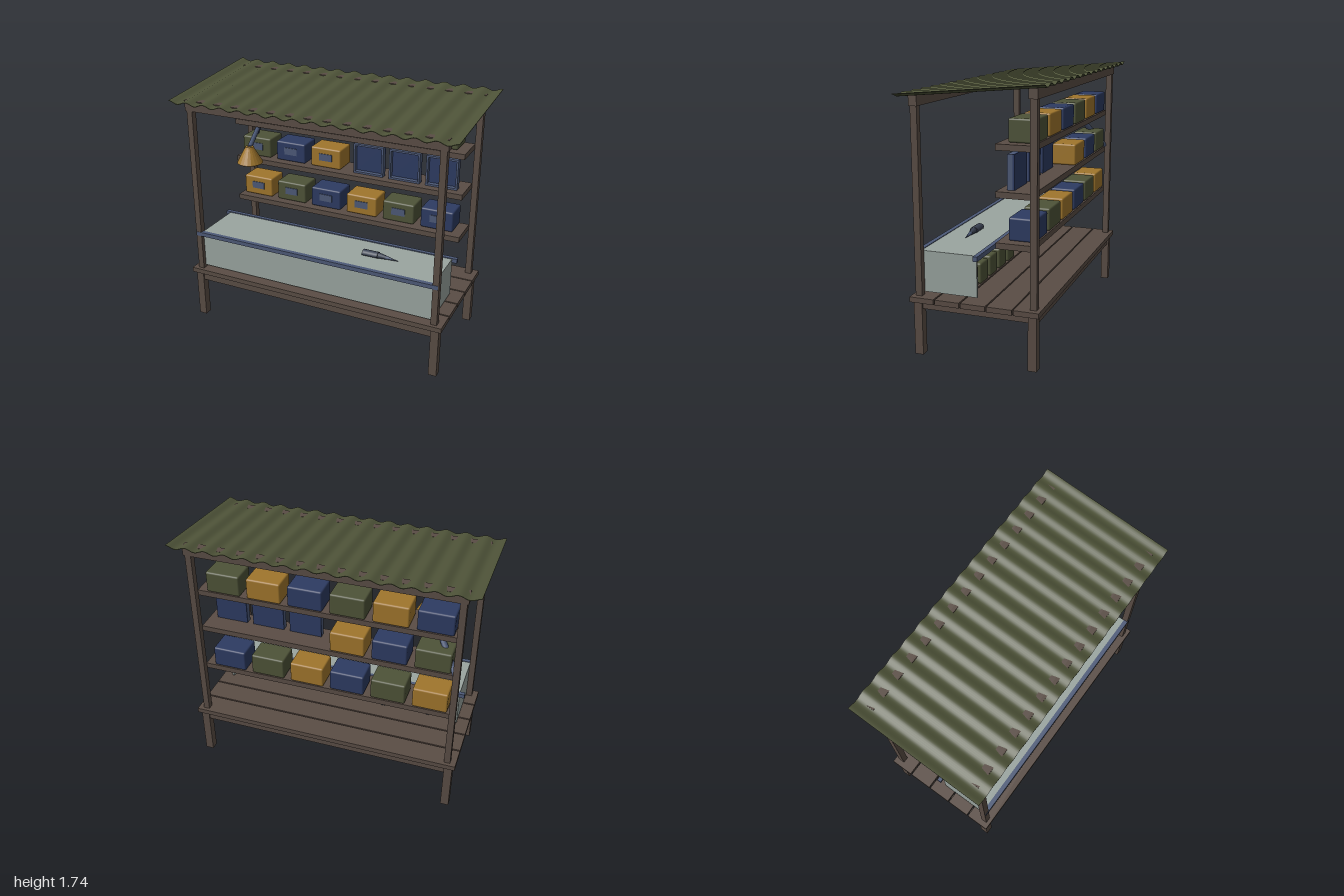
import * as THREE from 'three';
import { RoundedBoxGeometry } from 'three/addons/geometries/RoundedBoxGeometry.js';

const mat = (name, color) => {
  const m = new THREE.MeshStandardMaterial({ color });
  m.name = name;
  return m;
};

export function createModel() {
  const root = new THREE.Group();
  root.name = 'marketStall';
  const wood = mat('brown wood', 0x5a4d45);
  const green = mat('olive green', 0x4e5338);
  const orange = mat('ochre', 0xa0762c);
  const blue = mat('navy blue', 0x2d3b62);
  const slate = mat('slate blue metal', 0x4d5a78);
  const pale = mat('pale grey counter', 0x9aa5a0);
  const dark = mat('dark metal', 0x3a4252);

  const add = (name, geo, m, parent = root) => {
    const mesh = new THREE.Mesh(geo, m);
    mesh.name = name;
    parent.add(mesh);
    return mesh;
  };
  // Box given by its limits on each axis
  const box = (name, m, x0, x1, y0, y1, z0, z1, parent = root) => {
    const b = add(name, new THREE.BoxGeometry(x1 - x0, y1 - y0, z1 - z0), m, parent);
    b.position.set((x0 + x1) / 2, (y0 + y1) / 2, (z0 + z1) / 2);
    return b;
  };
  // Round bar between two points
  const bar = (name, m, a, b, r0, r1 = r0, sides = 10, parent = root) => {
    const dir = b.clone().sub(a);
    const c = add(name, new THREE.CylinderGeometry(r1, r0, dir.length(), sides), m, parent);
    c.position.copy(a).add(b).multiplyScalar(0.5);
    c.quaternion.setFromUnitVectors(new THREE.Vector3(0, 1, 0), dir.normalize());
    return c;
  };
  const v = (x, y, z) => new THREE.Vector3(x, y, z);

  // Platform: five planks, aprons, legs
  for (let i = 0; i < 5; i++) {
    const z = -0.425 + i * 0.172;
    box('plank', wood, -0.95, 0.95, 0.352, 0.386, z, z + 0.162);
  }
  for (const s of [-1, 1]) {
    const z = s * 0.378, x = s * 0.9;
    box('longApron', wood, -0.88, 0.88, 0.29, 0.352, z - 0.018, z + 0.018);
    box('sideApron', wood, x - 0.018, x + 0.018, 0.306, 0.352, -0.36, 0.36);
    for (const t of [-1, 1]) {
      const lx = t * 0.902;
      box('leg', wood, lx - 0.028, lx + 0.028, 0, 0.352, z - 0.028, z + 0.028);
      box('post', wood, t * 0.89 - 0.021, t * 0.89 + 0.021, 0.386, s > 0 ? 1.58 : 1.65, z - 0.022, z + 0.022);
    }
  }

  // Roof beams and corrugated sheet
  box('frontBeam', wood, -0.92, 0.92, 1.575, 1.647, 0.35, 0.405);
  box('backBeam', wood, -0.92, 0.92, 1.644, 1.713, -0.405, -0.35);
  const sheet = new THREE.BoxGeometry(2, 0.004, 0.936, 180, 1, 1);
  const p = sheet.attributes.position;
  for (let i = 0; i < p.count; i++) {
    const wave = -0.0095 * Math.cos(p.getX(i) * Math.PI * 15);
    p.setY(i, p.getY(i) + 1.683 + wave - p.getZ(i) * 0.0876);
  }
  sheet.computeVertexNormals();
  add('corrugatedRoof', sheet, green);

  // Shelves with storage boxes
  const crate = new RoundedBoxGeometry(0.235, 0.145, 0.174, 2, 0.012);
  const rows = [
    [0.77, [orange, green, blue, orange, green, blue]],
    [1.085, [green, blue, orange]],
    [1.37, [blue, orange, green, blue, orange, green]],
  ];
  for (const [y, colours] of rows) {
    box('shelf', wood, -0.87, 0.87, y - 0.038, y, -0.358, -0.125);
    colours.forEach((m, i) => {
      const x = -0.73 + i * 0.2834;
      add('storageBox', crate, m).position.set(x, y + 0.0725, -0.268);
      box('boxLabel', slate, x - 0.05, x + 0.05, y + 0.051, y + 0.103, -0.182, -0.176);
    });
  }

  // Upright framed trays on the middle shelf
  for (const x of [0.168, 0.436, 0.704]) {
    const tray = new THREE.Group();
    tray.name = 'framedTray';
    root.add(tray);
    const w = 0.112, t = 0.013, y0 = 1.086, y1 = 1.303;
    box('trayBack', blue, x - w, x + w, y0, y1, -0.226, -0.214, tray);
    for (const s of [-1, 1]) {
      const sx = x + s * (w - t / 2);
      box('traySide', slate, sx - t / 2, sx + t / 2, y0, y1, -0.214, -0.18, tray);
    }
    box('trayTop', slate, x - w + t, x + w - t, y1 - t, y1, -0.214, -0.18, tray);
    box('trayBottom', slate, x - w + t, x + w - t, y0, y0 + t, -0.214, -0.18, tray);
  }

  // Counter, open at the back
  box('counterFront', pale, -0.868, 0.868, 0.403, 0.655, 0.357, 0.372);
  box('counterTop', pale, -0.87, 0.87, 0.655, 0.672, 0, 0.372);
  for (const s of [-1, 1]) {
    box('counterEnd', pale, s * 0.861 - 0.008, s * 0.861 + 0.008, 0.403, 0.655, 0.002, 0.357);
  }
  box('frontRail', slate, -0.905, 0.905, 0.647, 0.676, 0.372, 0.403);
  box('backRail', slate, -0.905, 0.905, 0.647, 0.678, -0.017, 0.012);

  // Green containers under the counter
  const bin = new RoundedBoxGeometry(0.125, 0.14, 0.195, 2, 0.014);
  for (let i = 0; i < 5; i++) add('underCounterBin', bin, green).position.set(0.024 + i * 0.167, 0.456, 0.187);

  // Tools hanging under the counter
  for (const x of [-0.315, -0.64]) {
    const tool = new THREE.Group();
    tool.name = 'hangingTool';
    root.add(tool);
    box('toolHandle', slate, x - 0.012, x + 0.012, 0.4, 0.655, 0.04, 0.065, tool);
    box('toolTip', dark, x - 0.017, x + 0.008, 0.388, 0.405, 0.04, 0.06, tool);
  }
  for (const x of [-0.7, -0.76, -0.82]) {
    bar('hook', dark, v(x, 0.655, 0.05), v(x, 0.56, 0.05), 0.008, 0.008, 8);
    const curl = add('hookCurl', new THREE.TorusGeometry(0.02, 0.007, 6, 12, Math.PI * 1.3), dark);
    curl.position.set(x, 0.545, 0.05);
    curl.rotation.set(0, Math.PI / 2, Math.PI * 0.8);
  }

  // Pointed hand tool lying on the counter
  bar('awlHandle', dark, v(0.31, 0.695, 0.21), v(0.42, 0.695, 0.21), 0.021, 0.021, 10).scale.z = 1.4;
  bar('awlCollar', dark, v(0.42, 0.694, 0.21), v(0.475, 0.69, 0.21), 0.021, 0.014, 10);
  bar('awlTip', slate, v(0.475, 0.69, 0.21), v(0.565, 0.681, 0.21), 0.013, 0.001, 8);

  // Jointed lamp fixed to the back post
  const elbow = v(-0.72, 1.315, -0.205), foot = v(-0.88, 1.09, -0.355), head = v(-0.58, 1.287, 0.163);
  bar('lampLowerArm', slate, foot, elbow, 0.02);
  bar('lampUpperArm', slate, elbow, head, 0.017);
  add('lampElbow', new THREE.SphereGeometry(0.022, 12, 8), slate).position.copy(elbow);
  const shadeProfile = [[0, 0.118], [0.028, 0.118], [0.034, 0.105], [0.09, 0.004], [0.086, 0], [0.03, 0.1], [0, 0.1]]
    .map(([x, y]) => new THREE.Vector2(x, y)).reverse();
  const shade = new THREE.LatheGeometry(shadeProfile, 20).toNonIndexed();
  shade.computeVertexNormals();
  add('lampShade', shade, orange).position.set(-0.58, 1.177, 0.163);

  return root;
}
